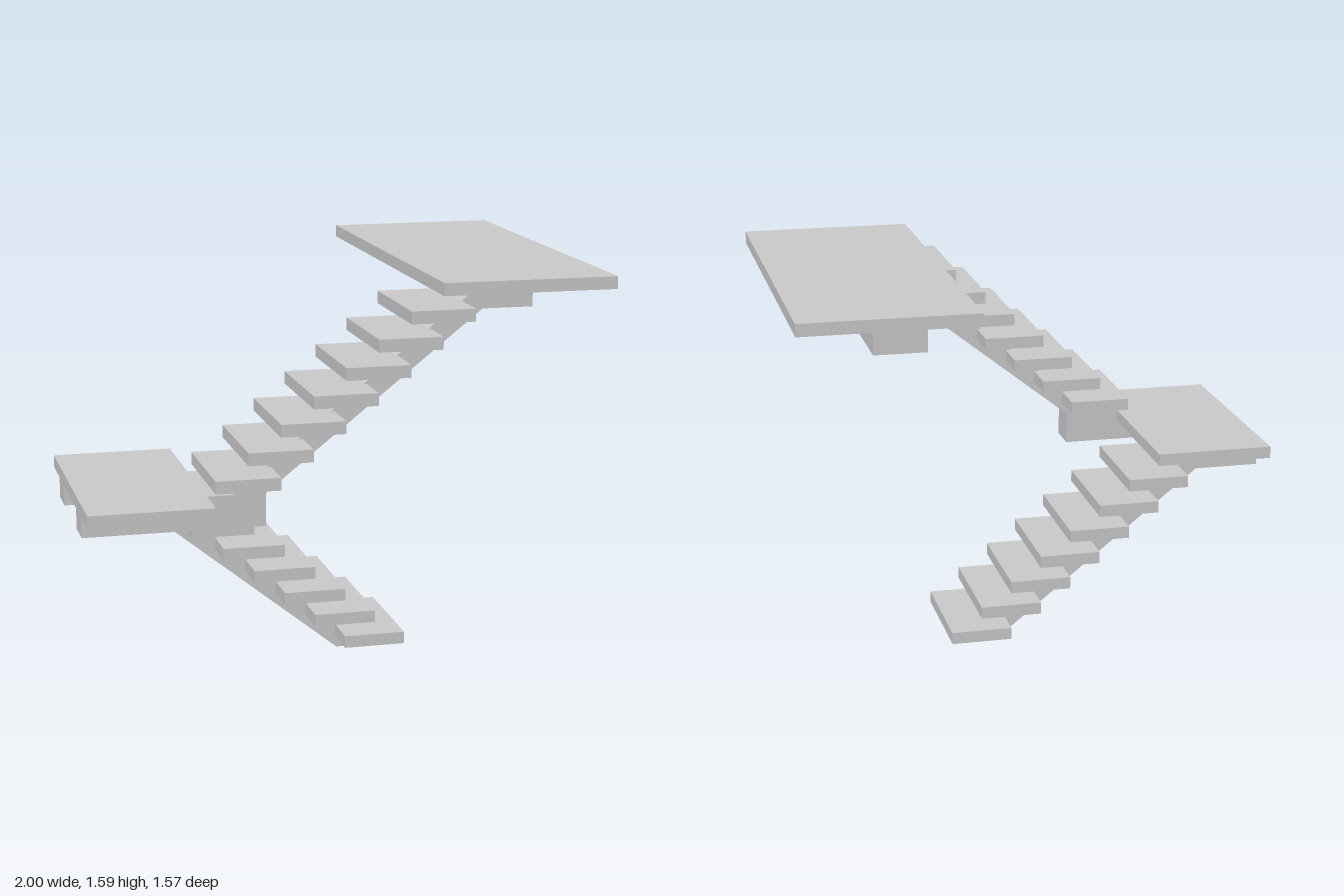
import * as THREE from 'three';

const RISE = 0.0991, RUN = 0.1224, SLAB = 0.048, STEPS = 7;
const TREAD = 2 * RUN, FLIGHT = 0.469, BEAM = 0.133;
const BACK = -0.15, MID = BACK + FLIGHT, FRONT = 0.787;

export function createModel() {
  const group = new THREE.Group();
  const material = new THREE.MeshStandardMaterial({ color: 0xcccccc, flatShading: true });

  const add = (name, geometry) => {
    const mesh = new THREE.Mesh(geometry, material);
    mesh.name = name;
    group.add(mesh);
  };

  // Box given by its limits on each axis
  const block = (name, x0, x1, y0, y1, z0, z1) => {
    const g = new THREE.BoxGeometry(x1 - x0, y1 - y0, z1 - z0);
    add(name, g.translate((x0 + x1) / 2, (y0 + y1) / 2, (z0 + z1) / 2));
  };

  // Side profile extruded to the beam width around a centre line
  const stringer = (name, points, zCentre) => {
    const shape = new THREE.Shape(points.map(([x, y]) => new THREE.Vector2(x, y)));
    const g = new THREE.ExtrudeGeometry(shape, { depth: BEAM, bevelEnabled: false });
    add(name, g.translate(0, 0, zCentre - BEAM / 2));
  };

  const midTop = 8 * RISE, upperTop = 16 * RISE;

  // Treads: the lower flight climbs towards -x, the upper one towards +x
  for (let i = 0; i < STEPS; i++) {
    const lowX = 0.327 - i * RUN, lowY = (i + 1) * RISE;
    block('lowerTread', lowX - TREAD, lowX, lowY - SLAB, lowY, BACK, MID);
    const highX = -0.53 + i * RUN, highY = midTop + (i + 1) * RISE;
    block('upperTread', highX, highX + TREAD, highY - SLAB, highY, MID, FRONT);
  }

  // Landings
  block('middleLanding', -1, -0.53, midTop - SLAB, midTop, BACK, FRONT);
  block('topLanding', 0.327, 1, upperTop - SLAB, upperTop, -FRONT, FRONT);

  // Central beams, running on under the landings
  const midUnder = midTop - SLAB, topUnder = upperTop - SLAB;
  stringer('lowerStringer', [
    [0.09, 0], [0.225, 0], [-0.705, midUnder], [-1, midUnder], [-1, 0.665], [-0.738, 0.665],
  ], (BACK + MID) / 2);
  stringer('upperStringer', [
    [-1, 0.665], [-0.305, 0.665], [-0.305, midTop], [0.53, 1.455], [0.727, 1.455],
    [0.727, topUnder], [0.51, topUnder], [-0.435, midTop], [-0.53, midTop],
    [-0.53, midUnder], [-1, midUnder],
  ], (MID + FRONT) / 2);

  // Long beam below the top landing
  block('topLandingBeam', 0.53, 0.727, 1.455, topUnder, -FRONT, (MID + FRONT - BEAM) / 2);

  return group;
}
